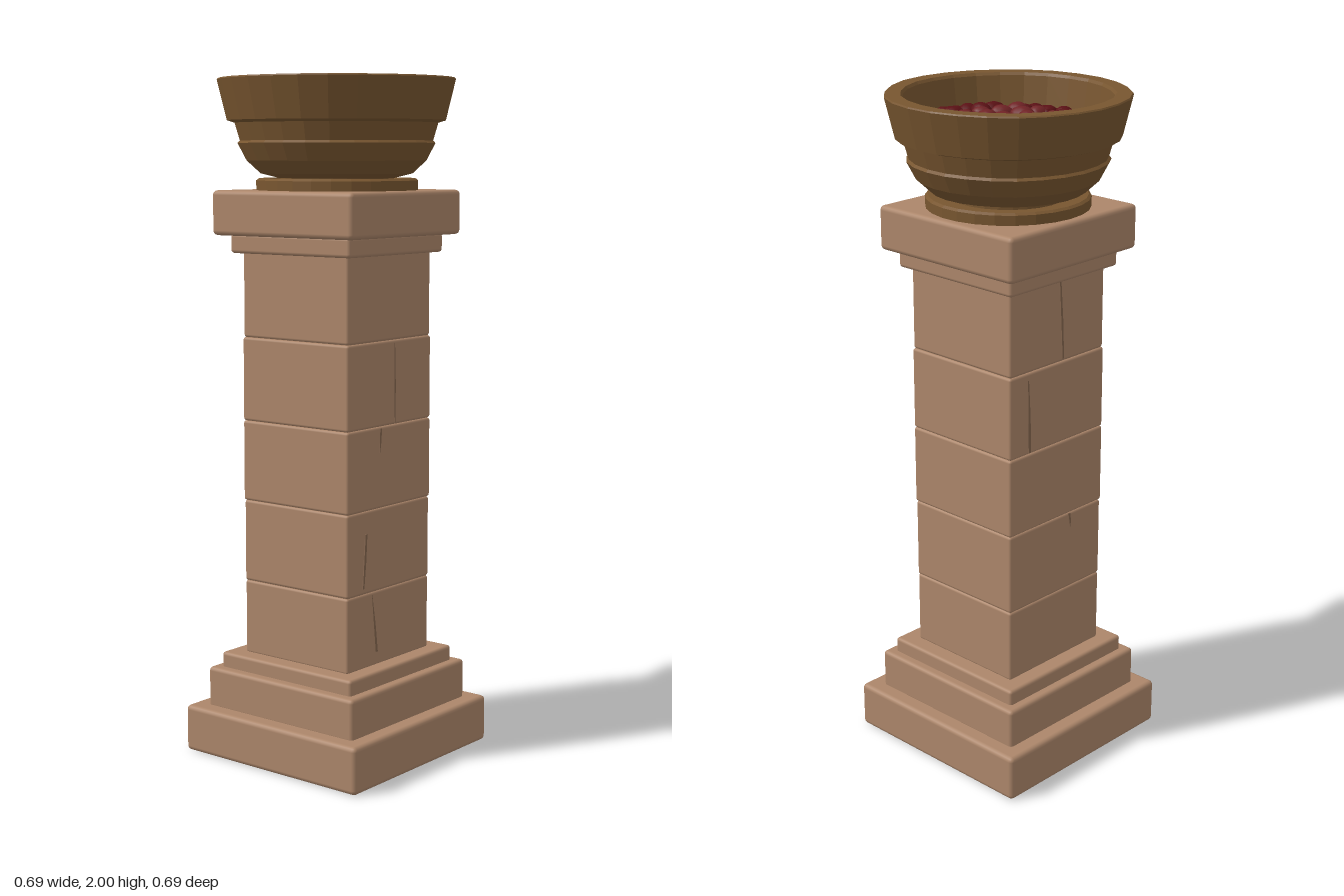
import * as THREE from 'three';
import { RoundedBoxGeometry } from 'three/addons/geometries/RoundedBoxGeometry.js';

const mat = (name, color, extra = {}) => {
  const m = new THREE.MeshStandardMaterial({ color, ...extra });
  m.name = name;
  return m;
};

export function createModel() {
  const model = new THREE.Group();
  model.name = 'stoneBrazier';

  const stone = mat('sandstone', 0xac866a);
  const crackMat = mat('crackShade', 0x84664f);
  const bronze = mat('bronze', 0x785630, { flatShading: true });
  const coalDark = mat('darkCoal', 0x5a1115);
  const coalWarm = mat('warmCoal', 0x6f2225);
  const ember = mat('ember', 0xb0462a);
  const glow = mat('glow', 0xd8a04c);

  // Seeded random numbers
  let seed = 17;
  const rnd = () => (seed = (seed * 16807) % 2147483647) / 2147483647;
  const spread = (s) => (rnd() - 0.5) * 2 * s;

  const add = (name, geometry, material, parent = model) => {
    const m = new THREE.Mesh(geometry, material);
    m.name = name;
    parent.add(m);
    return m;
  };

  // Square stone courses: half width, bottom, top, edge radius
  const course = (name, half, y0, y1, r = 0.012) => {
    const m = add(name, new RoundedBoxGeometry(half * 2, y1 - y0, half * 2, 2, r), stone);
    m.position.y = (y0 + y1) / 2;
    return m;
  };
  course('plinth', 0.325, 0, 0.14, 0.014);
  course('plinthStep', 0.276, 0.13, 0.257);
  course('plinthMoulding', 0.247, 0.247, 0.302, 0.01);
  course('capitalMoulding', 0.222, 1.498, 1.555, 0.01);
  course('capital', 0.26, 1.55, 1.68, 0.014);

  // Shaft of five stacked blocks around a core that backs the joints
  const joints = [0.298, 0.522, 0.766, 1.005, 1.252, 1.505];
  for (let i = 0; i < 5; i++) {
    course('shaftBlock' + (i + 1), 0.197 + spread(0.0015), joints[i], joints[i + 1], 0.008);
  }
  add('shaftCore', new THREE.BoxGeometry(0.382, 1.2, 0.382), stone).position.y = 0.9;

  // Cracks and upright joints: thin tapered plates on the front and back
  const crack = (side, x0, y0, x1, y1, w0, w1) => {
    const s = new THREE.Shape();
    s.moveTo(x0 - w0, y0);
    s.lineTo(x0 + w0, y0);
    s.lineTo((x0 + x1) / 2 + (w0 + w1) / 2 + 0.002, (y0 + y1) / 2);
    s.lineTo(x1 + w1, y1);
    s.lineTo(x1 - w1, y1);
    const g = new THREE.ExtrudeGeometry(s, { depth: 0.003, bevelEnabled: false });
    g.translate(0, 0, 0.196);
    const m = add('crack', g, crackMat);
    if (side < 0) m.rotation.y = Math.PI;
  };
  crack(1, 0.022, 1.01, 0.018, 1.245, 0.002, 0.002);
  crack(1, -0.062, 0.34, -0.085, 0.515, 0.005, 0.001);
  crack(1, -0.125, 0.54, -0.112, 0.7, 0.003, 0.004);
  crack(1, -0.05, 0.93, -0.045, 1.0, 0.001, 0.004);
  crack(-1, 0.02, 1.26, 0.005, 1.495, 0.003, 0.003);
  crack(-1, -0.118, 1.01, -0.125, 1.23, 0.005, 0.002);
  crack(-1, 0.06, 0.72, 0.055, 0.765, 0.001, 0.004);

  // Bowl: a faceted turning with two stepped bands outside and a deep inside
  const lathe = (name, points, n) =>
    add(name, new THREE.LatheGeometry(points.map((p) => new THREE.Vector2(...p)), n), bronze);
  const bowl = lathe('bowl', [
    [0, 1.715], [0.17, 1.715], [0.222, 1.728], [0.262, 1.765], [0.288, 1.815],
    [0.281, 1.822], [0.296, 1.873], [0.318, 1.88], [0.346, 1.996], [0.343, 2],
    [0.3, 2], [0.294, 1.992], [0.28, 1.9], [0.262, 1.845], [0, 1.84],
  ], 26);
  // Slight hammered unevenness, equal for vertices that share an angle
  const p = bowl.geometry.attributes.position;
  for (let i = 0; i < p.count; i++) {
    const a = Math.atan2(p.getZ(i), p.getX(i));
    const k = 1 + 0.004 * Math.sin(a * 5) + 0.003 * Math.cos(a * 9 + 1);
    p.setX(i, p.getX(i) * k);
    p.setZ(i, p.getZ(i) * k);
  }

  // Foot ring under the bowl
  lathe('bowlFoot', [
    [0, 1.675], [0.236, 1.675], [0.236, 1.708], [0.228, 1.714],
    [0.2, 1.714], [0.195, 1.706], [0.165, 1.706], [0.165, 1.72],
  ], 26);

  // Glowing bed, gently domed
  const bedY = (r) => 1.918 - 0.55 * r * r;
  const bed = [0, 0.06, 0.12, 0.18, 0.23, 0.277].map((r) => new THREE.Vector2(r, bedY(r))).reverse();
  add('glowingBed', new THREE.LatheGeometry(bed, 26), glow);

  // Coals and embers: squashed pebbles in jittered rings
  const pebble = new THREE.SphereGeometry(1, 12, 8);
  const coals = new THREE.Group();
  coals.name = 'coals';
  model.add(coals);
  const ring = (name, material, r, n, size, lift, squash) => {
    const start = rnd() * 6.28;
    for (let i = 0; i < n; i++) {
      const a = start + ((i + spread(0.22)) / n) * Math.PI * 2;
      const s = size * (0.78 + rnd() * 0.42);
      const d = Math.min(r + spread(0.012), 0.281 - s);
      const m = add(name, pebble, material, coals);
      m.position.set(Math.cos(a) * d, bedY(d) + lift, Math.sin(a) * d);
      m.scale.set(s * (0.95 + rnd() * 0.25), s * squash, s * 0.88);
      m.rotation.set(spread(0.25), rnd() * 6.28, spread(0.25));
    }
  };
  ring('ember', ember, 0.025, 2, 0.034, 0, 0.4);
  ring('ember', ember, 0.1, 9, 0.034, 0, 0.4);
  ring('ember', ember, 0.16, 14, 0.033, 0, 0.4);
  ring('ember', ember, 0.21, 20, 0.03, 0, 0.4);
  ring('coal', coalWarm, 0.062, 5, 0.033, 0.011, 0.75);
  ring('coal', coalWarm, 0.128, 10, 0.031, 0.011, 0.75);
  ring('coal', coalDark, 0.185, 15, 0.028, 0.011, 0.8);
  ring('smallCoal', coalDark, 0.155, 7, 0.018, 0.013, 0.8);
  ring('coal', coalDark, 0.226, 19, 0.029, 0.012, 0.8);
  ring('coal', coalDark, 0.256, 26, 0.032, 0.008, 0.8);

  return model;
}
